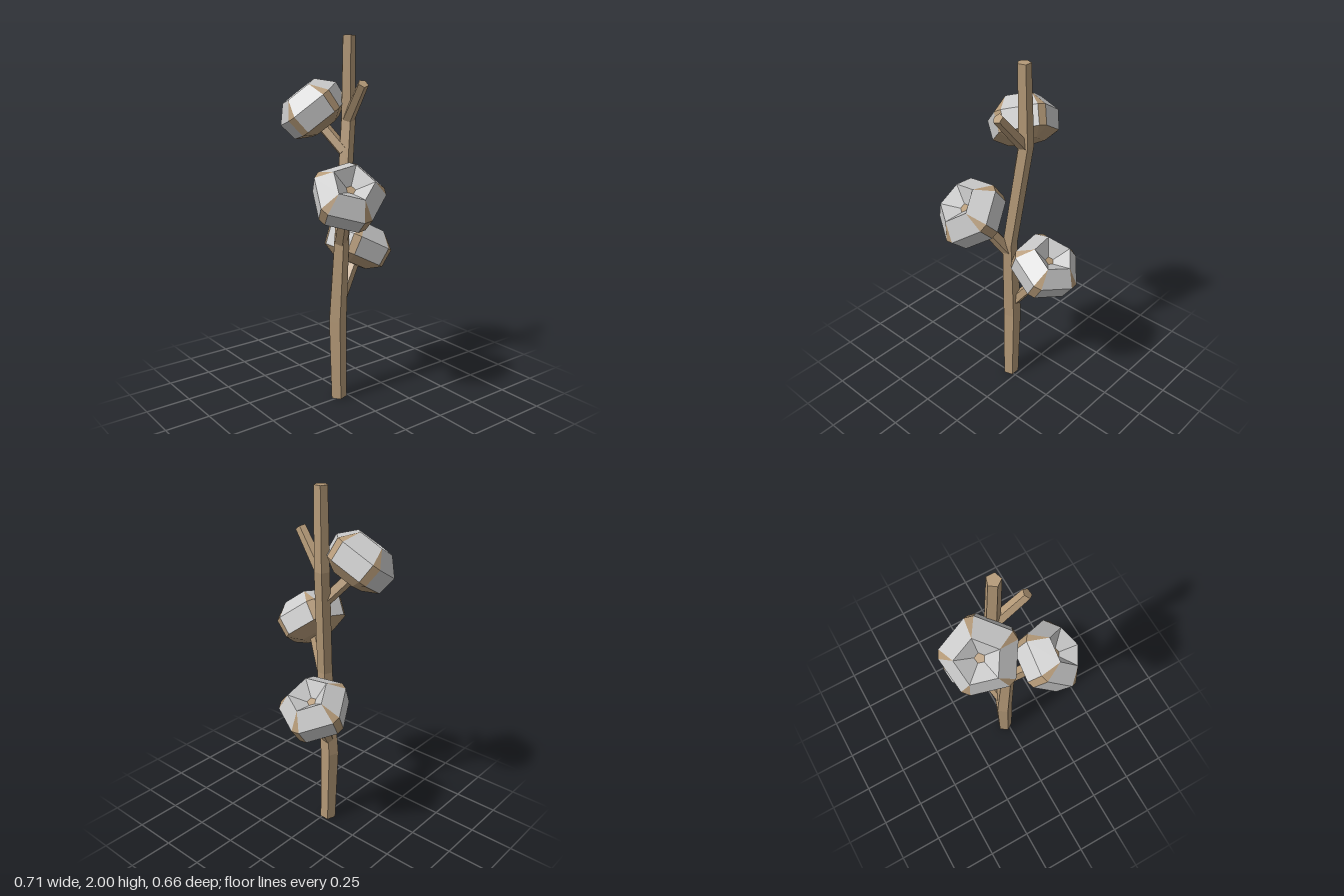
import * as THREE from 'three';

const V = (x, y, z) => new THREE.Vector3(x, y, z);
const bark = new THREE.MeshStandardMaterial({ color: 0xb59a78, flatShading: true });
const fluff = new THREE.MeshStandardMaterial({ color: 0xcccccc, flatShading: true });

// Flat-shaded mesh from a list of convex polygons (counter-clockwise from outside)
function polyMesh(name, polys, material) {
  const pts = [];
  for (const p of polys)
    for (let i = 1; i < p.length - 1; i++) pts.push(p[0], p[i], p[i + 1]);
  const geo = new THREE.BufferGeometry().setFromPoints(pts);
  geo.computeVertexNormals();
  const mesh = new THREE.Mesh(geo, material);
  mesh.name = name;
  return mesh;
}

// Ring of points around an axis; u marks angle zero
function ring(center, axis, u, angles, radius) {
  const v = axis.clone().cross(u);
  return angles.map(a => center.clone()
    .addScaledVector(u, Math.cos(a) * radius)
    .addScaledVector(v, Math.sin(a) * radius));
}

// Unit vector nearest to ref that is square to axis
const squareTo = (axis, ref) => ref.clone().addScaledVector(axis, -ref.dot(axis)).normalize();
const fifths = [0, 1, 2, 3, 4].map(i => i * Math.PI * 2 / 5);

// Five-sided wooden rod through a list of [centre, radius]
function rod(name, sections, axis, ref) {
  const u = squareTo(axis, ref);
  const rings = sections.map(([c, r]) => ring(c, axis, u, fifths, r));
  const polys = [[...rings[0]].reverse(), rings[rings.length - 1]];
  for (let k = 0; k < rings.length - 1; k++)
    for (let i = 0; i < 5; i++) {
      const j = (i + 1) % 5;
      polys.push([rings[k][i], rings[k][j], rings[k + 1][j], rings[k + 1][i]]);
    }
  return polyMesh(name, polys, bark);
}

function branch(name, a, b, r0, r1) {
  const axis = b.clone().sub(a).normalize();
  return rod(name, [[a, r0], [b, r1]], axis, V(0, 0, 1));
}

// Five-lobed boll: pale lobes with a sunken top, woody seams and base
function boll(name, center, dir, corner) {
  const axis = dir.clone().normalize(), u = squareTo(axis, corner);
  const at = (h, angles, r) => ring(center.clone().addScaledVector(axis, h), axis, u, angles, r);
  const pairs = w => fifths.flatMap(a => [a - w, a + w]);
  const pit = at(0.045, fifths, 0.026);
  const crest = at(0.11, fifths, 0.113);
  const shoulder = at(0.025, pairs(0.12), 0.192);
  const lower = at(-0.08, pairs(0.12), 0.178);
  const base = at(-0.125, fifths, 0.1);
  const pale = [], woody = [pit, [...base].reverse()];
  for (let i = 0; i < 5; i++) {
    const j = (i + 1) % 5, l = 2 * i, r = l + 1, n = 2 * j;
    // lobe: inner slope, outer slope, side
    pale.push([crest[i], crest[j], pit[j], pit[i]],
      [shoulder[r], shoulder[n], crest[j], crest[i]],
      [lower[r], lower[n], shoulder[n], shoulder[r]]);
    // seam and underside
    woody.push([shoulder[l], shoulder[r], crest[i]],
      [lower[l], lower[r], shoulder[r], shoulder[l]],
      [base[i], lower[r], lower[l]],
      [base[i], base[j], lower[n], lower[r]]);
  }
  const g = new THREE.Group();
  g.name = name;
  g.add(polyMesh('lobes', pale, fluff), polyMesh('husk', woody, bark));
  return g;
}

export function createModel() {
  const group = new THREE.Group();
  group.name = 'cottonStalk';

  // Crooked main stem
  group.add(rod('stem', [
    [V(-0.018, 0, 0.053), 0.046],
    [V(-0.028, 0.46, 0.053), 0.053],
    [V(0, 0.97, 0.042), 0.043],
    [V(-0.042, 1.57, -0.033), 0.042],
    [V(-0.03, 2, -0.029), 0.036],
  ], V(0, 1, 0), V(0, 0, 1)));

  // Side branches
  group.add(
    branch('lowerBranch', V(-0.035, 0.56, 0.03), V(-0.09, 0.77, -0.12), 0.032, 0.032),
    branch('middleBranch', V(0.005, 0.92, 0.05), V(0.13, 1.12, 0.115), 0.037, 0.035),
    branch('upperBranch', V(-0.03, 1.4, 0.0), V(-0.14, 1.53, 0.06), 0.034, 0.034),
    branch('bareTwig', V(-0.04, 1.56, -0.03), V(0.126, 1.76, -0.004), 0.034, 0.029));

  // Bolls at the branch ends
  group.add(
    boll('lowerBoll', V(-0.09, 0.86, -0.15), V(0, 0.88, -0.48), V(-0.015, -0.055, -0.101)),
    boll('middleBoll', V(0.195, 1.215, 0.142), V(0.66, 0.72, 0.2), V(-0.059, 0.071, -0.059)),
    boll('upperBoll', V(-0.178, 1.625, 0.107), V(-0.35, 0.79, 0.5), V(0.017, 0.064, -0.09)));
  return group;
}
